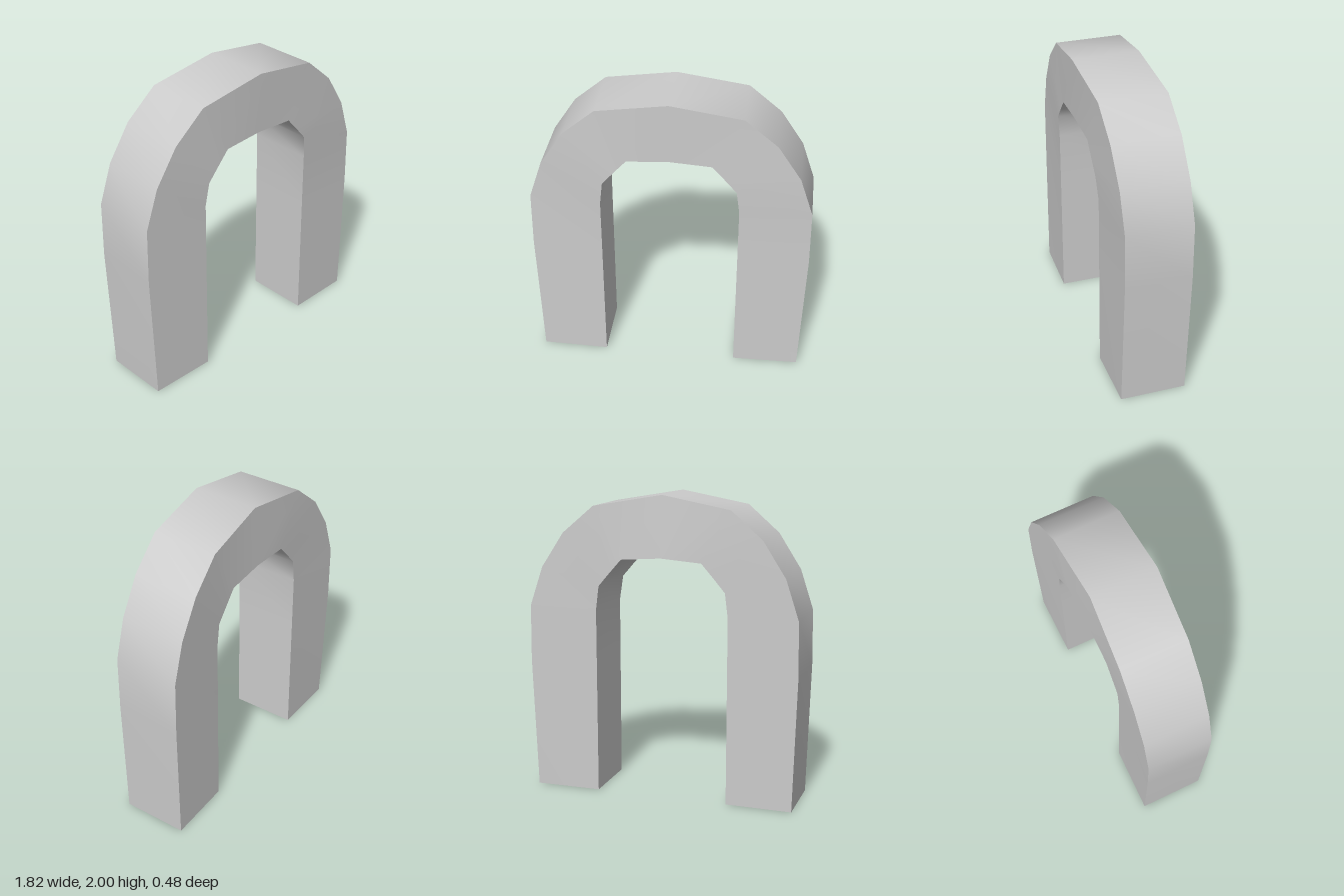
import * as THREE from 'three';
import { toCreasedNormals } from 'three/addons/utils/BufferGeometryUtils.js';

// Stations from the crown down to the foot; each edge is [x, y, zFront, zBack]
const outer = [
  [0, 2, 0.24, -0.195], [0.46, 1.92, 0.217, -0.222], [0.67, 1.74, 0.207, -0.232],
  [0.82, 1.51, 0.199, -0.238], [0.907, 1.25, 0.194, -0.243], [0.912, 0.88, 0.194, -0.242],
  [0.885, 0, 0.203, -0.23],
];
const inner = [
  [0, 1.6, 0.232, -0.225], [0.27, 1.58, 0.228, -0.225], [0.35, 1.49, 0.227, -0.225],
  [0.427, 1.4, 0.225, -0.225], [0.447, 1.24, 0.212, -0.225], [0.447, 0.88, 0.211, -0.225],
  [0.447, 0, 0.21, -0.225],
];

// Four corners of the cross-section: outer front, outer back, inner back, inner front
function section(i, side) {
  const o = outer[i], n = inner[i];
  return [
    [side * o[0], o[1], o[2]], [side * o[0], o[1], o[3]],
    [side * n[0], n[1], n[3]], [side * n[0], n[1], n[2]],
  ];
}

function archGeometry() {
  const last = outer.length - 1;
  const rings = [];
  for (let i = last; i > 0; i--) rings.push(section(i, -1));
  for (let i = 0; i <= last; i++) rings.push(section(i, 1));

  const positions = [];
  const quad = (a, b, c, d) => positions.push(...a, ...b, ...c, ...a, ...c, ...d);

  // Skin around the sections, running from the right foot to the left foot
  for (let r = 0; r < rings.length - 1; r++) {
    for (let k = 0; k < 4; k++) {
      const m = (k + 1) % 4;
      quad(rings[r][k], rings[r + 1][k], rings[r + 1][m], rings[r][m]);
    }
  }
  // Flat soles
  const [a, b, c, d] = rings[0];
  quad(a, b, c, d);
  const [e, f, g, h] = rings[rings.length - 1];
  quad(h, g, f, e);

  const geometry = new THREE.BufferGeometry();
  geometry.setAttribute('position', new THREE.Float32BufferAttribute(positions, 3));
  // Smooth along the curve, sharp along the four long edges
  return toCreasedNormals(geometry, Math.PI / 3);
}

export function createModel() {
  const group = new THREE.Group();
  group.name = 'archway';
  const arch = new THREE.Mesh(archGeometry(), new THREE.MeshStandardMaterial({ color: 0xcccccc }));
  arch.name = 'arch';
  group.add(arch);
  return group;
}
